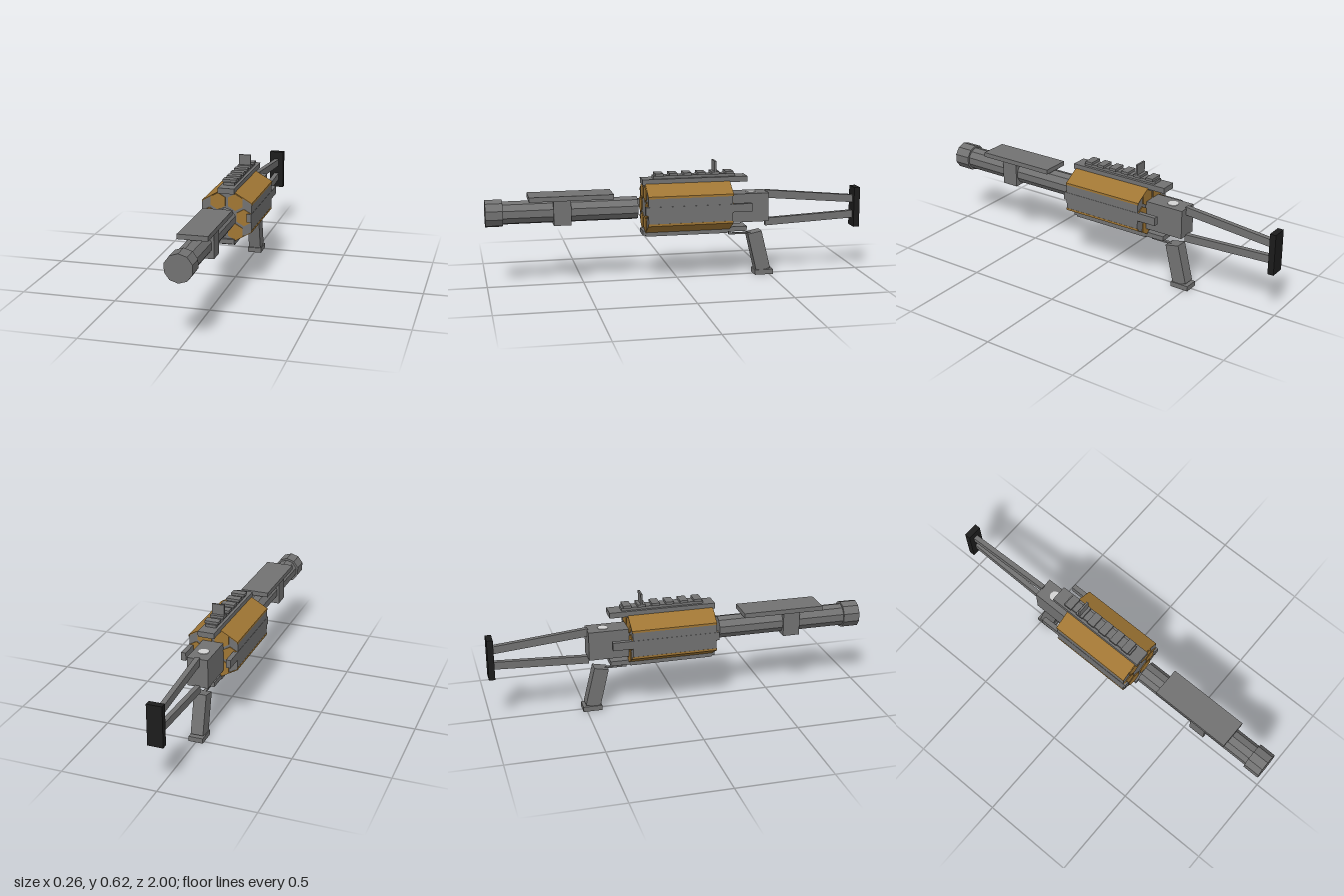
import * as THREE from 'three';

const material = (name, color) => {
  const m = new THREE.MeshStandardMaterial({ color });
  m.name = name;
  return m;
};

export function createModel() {
  const model = new THREE.Group();
  const grey = material('gunmetal grey', 0x727272);
  const gold = material('brass', 0xa07634);
  const black = material('black rubber', 0x1c1c1c);
  const light = material('light steel', 0xd4d4d4);
  const AXIS = 0.39; // height of the barrel axis

  const add = (name, geometry, mat) => {
    const mesh = new THREE.Mesh(geometry, mat);
    mesh.name = name;
    model.add(mesh);
    return mesh;
  };
  // Box given by its limits on each axis
  const box = (name, x0, x1, y0, y1, z0, z1, mat = grey) =>
    add(name, new THREE.BoxGeometry(x1 - x0, y1 - y0, z1 - z0)
      .translate((x0 + x1) / 2, (y0 + y1) / 2, (z0 + z1) / 2), mat);
  // Faceted rod along z with a vertex straight up
  const rod = (name, radius, sides, x, y, z0, z1, mat = grey) => {
    const g = new THREE.CylinderGeometry(radius, radius, z1 - z0, sides).toNonIndexed();
    g.rotateX(Math.PI / 2);
    g.computeVertexNormals();
    g.translate(x, y, (z0 + z1) / 2);
    return add(name, g, mat);
  };
  // Outline in x and y, extruded along z
  const prism = (name, points, z0, z1, mat = grey) => {
    const shape = new THREE.Shape(points.map(([x, y]) => new THREE.Vector2(x, y)));
    return add(name, new THREE.ExtrudeGeometry(shape, { depth: z1 - z0, bevelEnabled: false })
      .translate(0, 0, z0), mat);
  };
  // Side outline in z and y, extruded across x
  const sidePrism = (name, points, width, mat = grey) => {
    const shape = new THREE.Shape(points.map(([z, y]) => new THREE.Vector2(-z, y)));
    return add(name, new THREE.ExtrudeGeometry(shape, { depth: width, bevelEnabled: false })
      .translate(0, 0, -width / 2).rotateY(Math.PI / 2), mat);
  };

  // Barrel, muzzle and fore-end
  rod('barrel', 0.06, 10, 0, AXIS, 0.215, 0.92);
  rod('muzzle', 0.071, 10, 0, AXIS, 0.912, 1);
  box('foreEndBracket', -0.068, 0.068, 0.325, 0.455, 0.565, 0.655);
  box('foreEndPlate', -0.076, 0.076, 0.453, 0.478, 0.345, 0.78);

  // Hexagonal drum with its top and bottom corners cut off
  const half = [[0.043, -0.128], [0.131, -0.077], [0.131, 0.077], [0.043, 0.128]];
  const outline = [...half, ...half.map(([x, y]) => [-x, -y])].map(([x, y]) => [x, AXIS + y]);
  prism('drumCore', outline, -0.27, 0.175);
  // Brass skin on the sloped faces, turning a little way onto the sides
  for (const sx of [1, -1]) for (const sy of [1, -1]) {
    const skin = [[0.04, 0.126], [0.1295, 0.074], [0.1295, 0.066], [0.132, 0.066], [0.132, 0.0772], [0.042, 0.1295]];
    prism('drumSlopedPanel', skin.map(([x, y]) => [sx * x, AXIS + sy * y]), -0.275, 0.176, gold);
  }
  for (let i = 0; i < 6; i++) {
    const a = i * Math.PI / 3;
    rod('drumChamber', 0.0445, 6, 0.091 * Math.cos(a), AXIS + 0.091 * Math.sin(a), -0.275, 0.18, gold);
  }

  // Rails around the drum
  box('topRail', -0.043, 0.043, 0.513, 0.542, -0.37, 0.19);
  box('bottomRail', -0.043, 0.043, 0.247, 0.272, -0.37, 0.19);
  box('bottomRailPad', -0.043, 0.043, 0.24, 0.247, -0.265, 0.175);
  for (const s of [1, -1]) {
    const x = s * 0.12;
    box('sideRail', x - 0.0125, x + 0.0125, 0.37, 0.413, -0.375, 0.19);
  }

  // Sight mount with teeth and rear sight
  box('sightMount', -0.028, 0.028, 0.542, 0.557, -0.305, 0.13);
  for (let i = 0; i < 6; i++) {
    const z = 0.1 - i * 0.075;
    box('mountTooth', -0.036, 0.036, 0.556, 0.57, z - 0.021, z + 0.021);
  }
  box('rearSight', -0.033, 0.033, 0.557, 0.625, -0.204, -0.194);

  // Receiver with a round cap on top
  box('receiver', -0.055, 0.055, 0.297, 0.45, -0.485, -0.265);
  add('receiverCap', new THREE.CylinderGeometry(0.028, 0.028, 0.004, 12).translate(0, 0.451, -0.4), light);

  // Trigger guard and raked grip
  box('triggerGuard', -0.008, 0.008, 0.222, 0.23, -0.42, -0.28);
  box('triggerGuardPost', -0.008, 0.008, 0.222, 0.25, -0.29, -0.28);
  sidePrism('grip', [[-0.38, 0.225], [-0.455, 0.24], [-0.505, 0.035], [-0.43, 0.015]], 0.066);
  box('gripBase', -0.038, 0.038, 0, 0.027, -0.52, -0.42);

  // Skeleton stock
  sidePrism('upperStrut', [[-0.48, 0.415], [-0.48, 0.458], [-0.97, 0.411], [-0.97, 0.371]], 0.026);
  sidePrism('lowerStrut', [[-0.48, 0.264], [-0.48, 0.304], [-0.97, 0.326], [-0.97, 0.286]], 0.026);
  box('buttPlate', -0.04, 0.04, 0.24, 0.456, -1, -0.968, black);

  return model;
}
